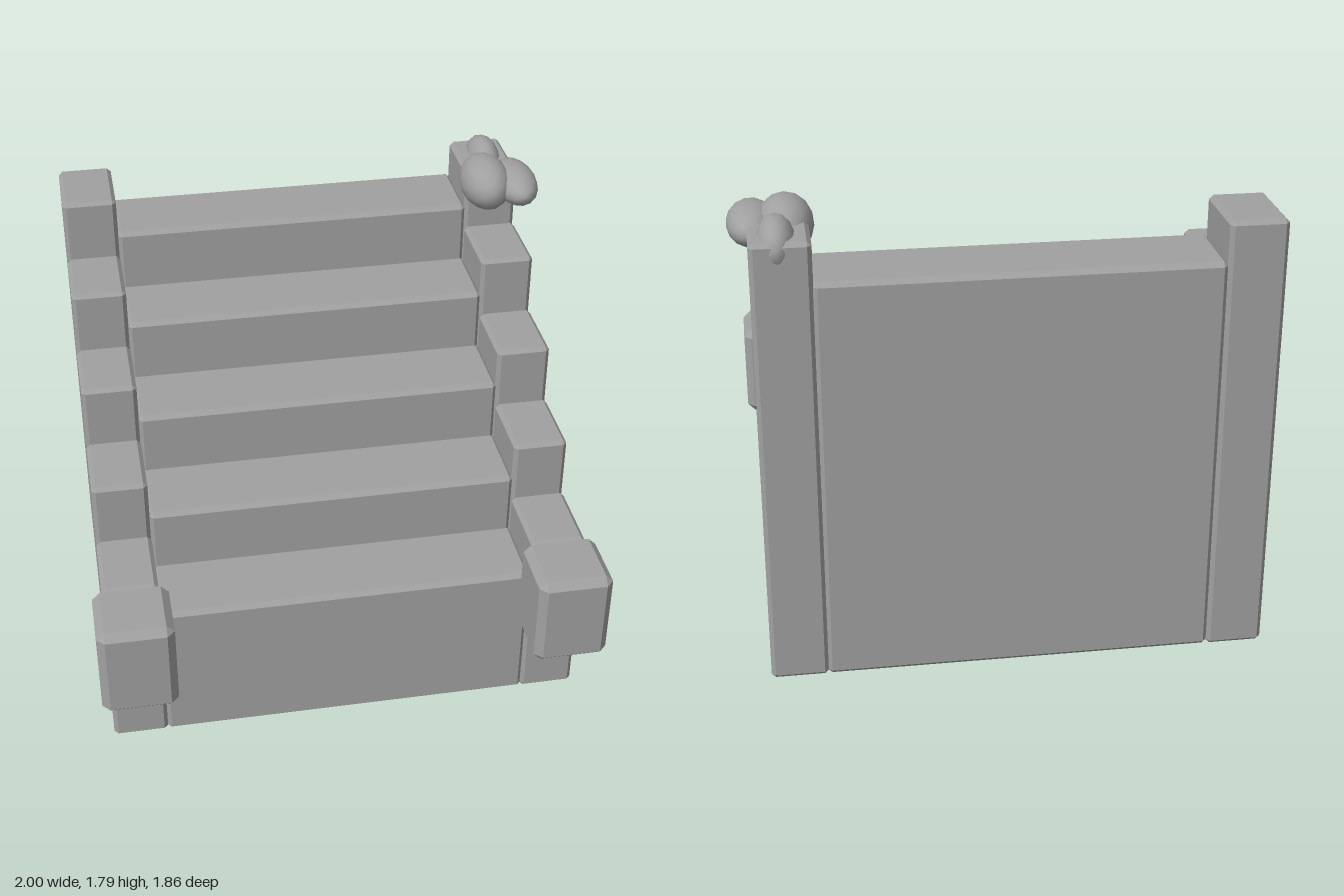
import * as THREE from 'three';
import { ConvexGeometry } from 'three/addons/geometries/ConvexGeometry.js';

const stone = new THREE.MeshStandardMaterial({ color: 0xa0a0a0 });
stone.name = 'grey stone';

// Box between two corners with every edge cut at 45 degrees
function chamferedBox(name, [x0, y0, z0], [x1, y1, z1], c) {
  const half = [(x1 - x0) / 2, (y1 - y0) / 2, (z1 - z0) / 2];
  const points = [];
  for (const sx of [-1, 1]) for (const sy of [-1, 1]) for (const sz of [-1, 1]) {
    for (let face = 0; face < 3; face++) {
      const [x, y, z] = half.map((h, axis) => (axis === face ? h : h - c));
      points.push(new THREE.Vector3(sx * x, sy * y, sz * z));
    }
  }
  const mesh = new THREE.Mesh(new ConvexGeometry(points), stone);
  mesh.position.set((x0 + x1) / 2, (y0 + y1) / 2, (z0 + z1) / 2);
  mesh.name = name;
  return mesh;
}

function pebble(name, position, radii) {
  const mesh = new THREE.Mesh(new THREE.IcosahedronGeometry(1, 2), stone);
  mesh.position.set(...position);
  mesh.scale.set(...radii);
  mesh.name = name;
  return mesh;
}

export function createModel() {
  const model = new THREE.Group();
  model.name = 'staircase';

  // Five full-height steps, each flanked by a taller side block
  const pitch = 0.3165, rise = 0.2435;
  for (let i = 0; i < 5; i++) {
    const front = 0.665 - i * pitch;
    const back = front - pitch - 0.002;
    const n = i + 1;
    model.add(
      chamferedBox('step' + n, [-0.75, 0, back], [0.715, 0.605 + i * rise, front], 0.018),
      chamferedBox('rightSideBlock' + n, [-0.962, 0, back], [-0.746, 0.755 + i * rise, front], 0.016),
      chamferedBox('leftSideBlock' + n, [0.709, 0, back], [0.925, 0.755 + i * rise, front], 0.016),
    );
  }

  // Square blocks projecting from the front of each side
  model.add(
    chamferedBox('rightFrontBlock', [-1, 0.37, 0.642], [-0.71, 0.757, 0.93], 0.03),
    chamferedBox('leftFrontBlock', [0.674, 0.37, 0.642], [0.964, 0.757, 0.93], 0.03),
  );

  // Cluster of smooth lumps on the upper left side
  const cluster = new THREE.Group();
  cluster.name = 'pebbleCluster';
  cluster.add(
    pebble('innerPebble', [0.787, 1.69, -0.595], [0.103, 0.105, 0.168]),
    pebble('outerPebble', [0.907, 1.69, -0.571], [0.09, 0.072, 0.177]),
    pebble('backPebble', [0.827, 1.69, -0.795], [0.071, 0.098, 0.136]),
  );
  model.add(cluster);
  return model;
}
